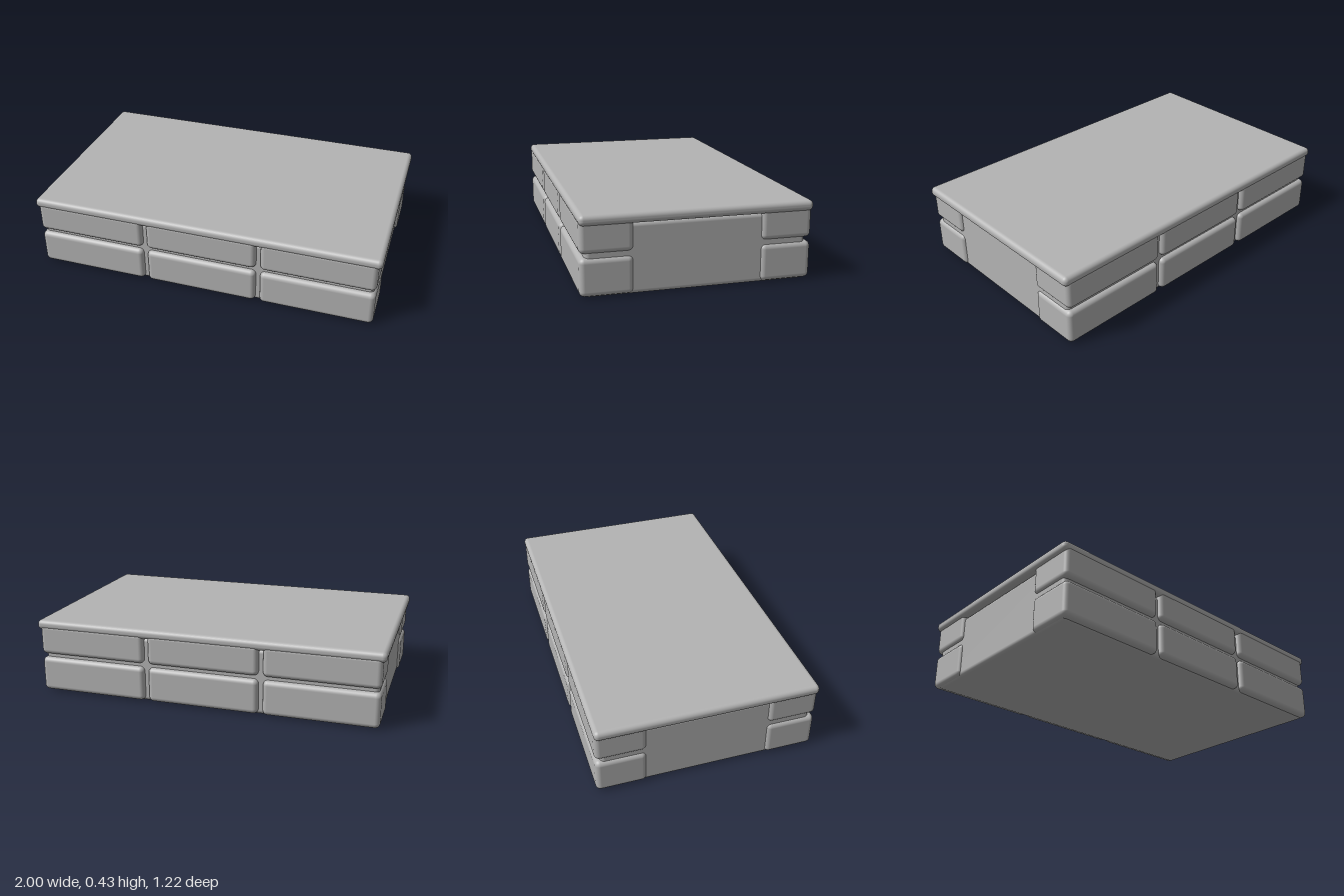
import * as THREE from 'three';
import { RoundedBoxGeometry } from 'three/addons/geometries/RoundedBoxGeometry.js';

export function createModel() {
  const group = new THREE.Group();
  const stone = new THREE.MeshStandardMaterial({ color: 0xb4b4b4 });
  stone.name = 'grey stone';

  // Rounded block given by its lower and upper corners
  function block(name, [x0, y0, z0], [x1, y1, z1], radius) {
    const geometry = new RoundedBoxGeometry(x1 - x0, y1 - y0, z1 - z0, 4, radius);
    const mesh = new THREE.Mesh(geometry, stone);
    mesh.position.set((x0 + x1) / 2, (y0 + y1) / 2, (z0 + z1) / 2);
    mesh.name = name;
    group.add(mesh);
  }

  // Inner body, slightly recessed behind the bricks
  block('core', [-0.968, 0, -0.582], [0.968, 0.375, 0.582], 0.025);

  // Flat top slab overhanging the ends
  block('topSlab', [-1, 0.374, -0.612], [1, 0.43, 0.612], 0.025);

  // Two courses of three bricks along the front and the back
  const columns = [[-0.982, -0.345], [-0.32, 0.32], [0.345, 0.982]];
  const courses = [[0.007, 0.207], [0.228, 0.405]];
  const rows = [['front', 0.335, 0.611], ['back', -0.611, -0.335]];
  for (const [side, z0, z1] of rows) {
    for (const [y0, y1] of courses) {
      for (const [x0, x1] of columns) {
        block(side + 'Brick', [x0, y0, z0], [x1, y1, z1], 0.028);
      }
    }
  }
  return group;
}
